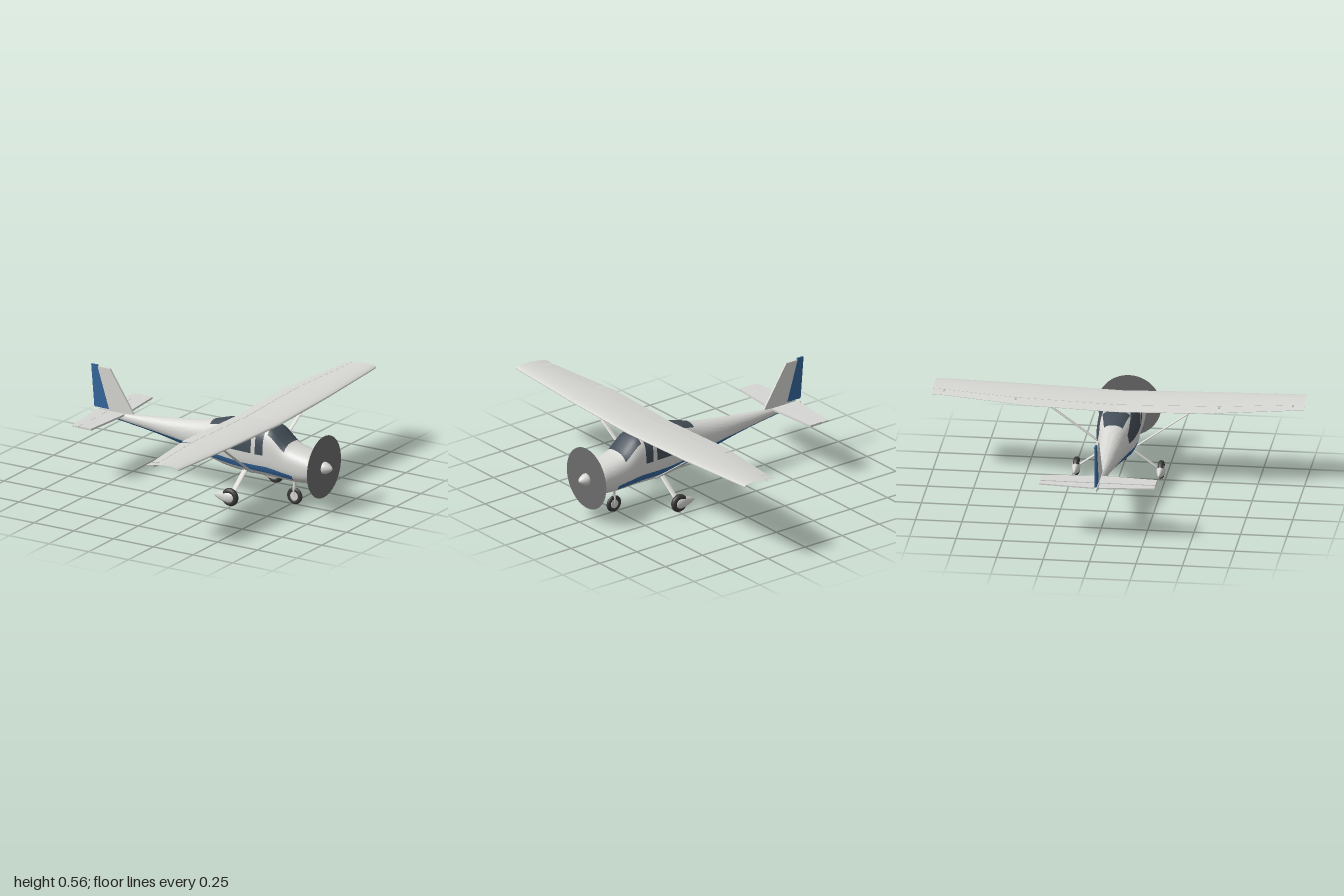
import * as THREE from 'three';
import { toCreasedNormals } from 'three/addons/utils/BufferGeometryUtils.js';

const V = (x, y, z) => new THREE.Vector3(x, y, z);

// Fuselage stations: x, top, bottom, half width, squareness
const STATIONS = [
  [-0.745, 0.306, 0.296, 0.004, 2], [-0.56, 0.318, 0.274, 0.018, 2],
  [-0.36, 0.336, 0.25, 0.04, 2], [-0.155, 0.36, 0.213, 0.062, 2.1],
  [0.005, 0.386, 0.176, 0.08, 2.3], [0.1, 0.411, 0.158, 0.098, 2.6],
  [0.2, 0.428, 0.147, 0.106, 2.8], [0.3, 0.432, 0.144, 0.108, 2.9],
  [0.41, 0.42, 0.143, 0.106, 2.8], [0.5, 0.35, 0.141, 0.103, 2.6],
  [0.575, 0.327, 0.14, 0.1, 2.5], [0.64, 0.314, 0.146, 0.097, 2.4],
  [0.675, 0.303, 0.157, 0.091, 2.3], [0.69, 0.292, 0.17, 0.084, 2.2],
  [0.698, 0.28, 0.185, 0.07, 2.2],
];

// Wing stations: z, leading edge, hinge line, trailing edge
const WING = [
  [0, 0.425, 0.21, 0.135], [0.5, 0.425, 0.21, 0.135], [0.545, 0.423, 0.21, 0.143],
  [0.94, 0.411, 0.255, 0.2], [1, 0.408, 0.255, 0.2],
];

function bracket(table, v) {
  let i = 0;
  while (i < table.length - 2 && v > table[i + 1][0]) i++;
  return [i, (v - table[i][0]) / (table[i + 1][0] - table[i][0])];
}

// Smooth fuselage section at x
function section(x) {
  const [i, t] = bracket(STATIONS, x);
  const at = (k) => STATIONS[Math.min(Math.max(k, 0), STATIONS.length - 1)];
  const a = at(i), b = at(i + 1), dx = b[0] - a[0];
  const slope = (k, c) => (at(k + 1)[c] - at(k - 1)[c]) / (at(k + 1)[0] - at(k - 1)[0]);
  const [top, bottom, w, n] = [1, 2, 3, 4].map((c) =>
    (2 * t ** 3 - 3 * t * t + 1) * a[c] + (t ** 3 - 2 * t * t + t) * dx * slope(i, c)
    + (3 * t * t - 2 * t ** 3) * b[c] + (t ** 3 - t * t) * dx * slope(i + 1, c));
  return { cy: (top + bottom) / 2, h: (top - bottom) / 2, w, n };
}

// Closed skin through rings of equal length, capped at both ends, facing outward
function loft(rings, crease) {
  const n = rings[0].length, pts = rings.flat(), index = [];
  for (let i = 0; i < rings.length - 1; i++) {
    for (let j = 0; j < n; j++) {
      const a = i * n + j, b = i * n + (j + 1) % n;
      index.push(a, a + n, b, b, a + n, b + n);
    }
  }
  [0, rings.length - 1].forEach((r) => {
    const c = pts.length;
    pts.push(rings[r].reduce((s, p) => s.add(p), V(0, 0, 0)).divideScalar(n));
    for (let j = 0; j < n; j++) {
      const a = r * n + j, b = r * n + (j + 1) % n;
      index.push(...(r ? [c, a, b] : [c, b, a]));
    }
  });
  let volume = 0;
  for (let k = 0; k < index.length; k += 3) {
    volume += pts[index[k]].dot(V(0, 0, 0).crossVectors(pts[index[k + 1]], pts[index[k + 2]]));
  }
  if (volume < 0) index.reverse();
  const g = new THREE.BufferGeometry().setFromPoints(pts);
  g.setIndex(index);
  return toCreasedNormals(g, crease);
}

function fuselageGeometry() {
  const rings = [], steps = 90, seg = 56;
  for (let i = 0; i <= steps; i++) {
    const x = -0.745 + 1.443 * Math.sin((i / steps) * Math.PI / 2);
    const { cy, h, w, n } = section(x);
    const pow = (v) => Math.sign(v) * Math.abs(v) ** (2 / n);
    rings.push(Array.from({ length: seg }, (_, j) => {
      const a = (j / seg) * Math.PI * 2;
      return V(x, cy + h * pow(Math.sin(a)), w * pow(Math.cos(a)));
    }));
  }
  return loft(rings, 0.7);
}

// Thin skin patch on the fuselage; rows are x, from, to (heights on the side, z on the roof)
function patch(rows, roof = false) {
  const pts = [], index = [], cols = 24, across = 12;
  const x0 = rows[0][0], x1 = rows[rows.length - 1][0];
  for (let i = 0; i <= cols; i++) {
    const x = x0 + (x1 - x0) * i / cols, s = section(x);
    const [k, t] = bracket(rows, x);
    const mix = (c) => rows[k][c] + (rows[k + 1][c] - rows[k][c]) * t;
    const curve = (q) => Math.max(0, 1 - Math.abs(q) ** s.n) ** (1 / s.n);
    for (let j = 0; j <= across; j++) {
      const v = mix(1) + (mix(2) - mix(1)) * j / across;
      pts.push(roof ? V(x, s.cy + s.h * curve(v / s.w) + 0.003, v)
        : V(x, v, s.w * curve((v - s.cy) / s.h) + 0.003));
      if (i < cols && j < across) {
        const a = i * (across + 1) + j, b = a + across + 1;
        index.push(a, b, a + 1, a + 1, b, b + 1);
      }
    }
  }
  const g = new THREE.BufferGeometry().setFromPoints(pts);
  g.setIndex(index);
  g.computeVertexNormals();
  return g;
}

// Piece of the right-angled airfoil wing, ahead of or behind the hinge line
function wingPanel(z0, z1, rear) {
  const zs = [z0, ...WING.map((s) => s[0]).filter((z) => z > z0 && z < z1), z1];
  return loft(zs.map((z) => {
    const [i, t] = bracket(WING, z);
    const [le, hinge, te] = [1, 2, 3].map((c) => WING[i][c] + (WING[i + 1][c] - WING[i][c]) * t);
    const cut = (le - hinge) / (le - te), from = rear ? cut + 0.008 : 0, to = rear ? 1 : cut;
    const thick = 0.0145 - 0.003 * z, upper = [], lower = [];
    for (let k = 0; k <= 14; k++) {
      const c = from + (to - from) * (rear ? k / 14 : (k / 14) ** 2);
      const half = thick * 10 * (0.2969 * Math.sqrt(c) - 0.126 * c - 0.3516 * c ** 2
        + 0.2843 * c ** 3 - 0.1015 * c ** 4) + 0.0008;
      const mid = 0.43 + 0.03 * z - 0.009 * c + 0.016 * c * (1 - c), x = le + (te - le) * c;
      upper.push(V(x, mid + half, z));
      lower.unshift(V(x, mid - half, z));
    }
    return [...upper, ...lower];
  }), 0.6);
}

// Flat plate of given thickness, centred on its plane
function plate(points, thick) {
  const g = new THREE.ExtrudeGeometry(new THREE.Shape(points.map((p) => new THREE.Vector2(...p))),
    { depth: thick, bevelEnabled: false });
  return g.translate(0, 0, -thick / 2);
}

// Elliptical bar between two points
function bar(p, q, chord, thick) {
  const d = q.clone().sub(p), g = new THREE.CylinderGeometry(0.5, 0.5, d.length(), 16);
  g.scale(chord, 1, thick);
  g.applyQuaternion(new THREE.Quaternion().setFromUnitVectors(V(0, 1, 0), d.normalize()));
  const m = p.clone().add(q).multiplyScalar(0.5);
  return g.translate(m.x, m.y, m.z);
}

// Turned shape along +x; points are radius, distance
const turned = (pts) => new THREE.LatheGeometry(
  new THREE.SplineCurve(pts.map((p) => new THREE.Vector2(...p))).getPoints(24), 32).rotateZ(-Math.PI / 2);

function mirrorZ(geometry) {
  const g = geometry.clone().scale(1, 1, -1);
  const order = g.index ? Array.from(g.index.array) : Array.from({ length: g.attributes.position.count }, (_, i) => i);
  return g.setIndex(order.reverse());
}

export function createModel() {
  const model = new THREE.Group();
  model.name = 'lightAircraft';
  const material = (name, color, extra) => Object.assign(new THREE.MeshStandardMaterial({ color, ...extra }), { name });
  const white = material('white', 0xd6d7d3);
  const blue = material('blue', 0x34669c);
  const glass = material('darkGlass', 0x444e58);
  const rubber = material('rubber', 0x3a3a3a);
  const blur = material('propellerGrey', 0x6c6c6c, { side: THREE.DoubleSide });
  const add = (name, geometry, mat) => {
    const mesh = new THREE.Mesh(geometry, mat);
    mesh.name = name;
    model.add(mesh);
  };
  const pair = (name, geometry, mat) => {
    add(name + 'Left', mirrorZ(geometry), mat);
    add(name + 'Right', geometry, mat);
  };

  // Body, windows and stripe
  add('fuselage', fuselageGeometry(), white);
  pair('cabinWindow', patch([[0.015, 0.288, 0.335], [0.095, 0.285, 0.378], [0.18, 0.283, 0.408], [0.31, 0.281, 0.41]]), glass);
  pair('doorWindow', patch([[0.335, 0.28, 0.41], [0.383, 0.28, 0.408]]), glass);
  add('rearWindow', patch([[0.015, 0.05, -0.05], [0.15, 0.075, -0.075]], true), glass);
  add('windshield', patch([[0.4, 0.086, -0.086], [0.505, 0.088, -0.088]], true), glass);
  pair('stripe', patch([[-0.716, 0.296, 0.3], [-0.44, 0.262, 0.274], [-0.155, 0.225, 0.2535],
    [0.047, 0.2, 0.233], [0.25, 0.185, 0.217], [0.41, 0.18, 0.217], [0.56, 0.168, 0.193]]), blue);

  // Propeller
  add('spinner', turned([[0.033, 0], [0.032, 0.014], [0.023, 0.034], [0.01, 0.05], [0, 0.056]]).translate(0.7, 0.238, 0), white);
  add('propellerDisc', new THREE.CircleGeometry(0.172, 64).rotateY(Math.PI / 2).translate(0.702, 0.243, 0), blur);

  // Wings with struts
  pair('wing', wingPanel(0, 1, false), white);
  pair('flap', wingPanel(0, 0.543, true), white);
  pair('aileron', wingPanel(0.552, 0.935, true), white);
  pair('wingTipEdge', wingPanel(0.943, 1, true), white);
  pair('wingStrut', bar(V(0.303, 0.168, 0.09), V(0.322, 0.437, 0.475), 0.024, 0.009), white);

  // Tail
  add('fin', plate([[-0.49, 0.318], [-0.643, 0.554], [-0.719, 0.554], [-0.645, 0.318]], 0.012), white);
  add('rudder', plate([[-0.65, 0.326], [-0.722, 0.562], [-0.76, 0.562], [-0.74, 0.326]], 0.01), blue);
  const flat = (points, thick) => plate(points, thick).rotateX(Math.PI / 2).translate(0, 0.312, 0);
  pair('stabilizer', flat([[-0.545, 0], [-0.57, 0.31], [-0.648, 0.31], [-0.648, 0]], 0.011), white);
  pair('elevator', flat([[-0.652, 0.012], [-0.652, 0.31], [-0.692, 0.31], [-0.72, 0.012]], 0.007), white);

  // Main gear
  pair('mainLeg', bar(V(0.25, 0.165, 0.075), V(0.253, 0.065, 0.215), 0.03, 0.01), white);
  pair('mainTyre', new THREE.TorusGeometry(0.034, 0.016, 16, 40).translate(0.253, 0.058, 0.228), rubber);
  pair('wheelFairing', turned([[0, -0.108], [0.018, -0.075], [0.034, -0.03], [0.036, 0], [0.026, 0.025], [0, 0.036]])
    .scale(1, 0.95, 0.62).translate(0.253, 0.056, 0.228), white);

  // Nose gear
  add('noseTyre', new THREE.TorusGeometry(0.034, 0.0125, 16, 40).scale(1, 1, 0.8).translate(0.518, 0.047, 0), rubber);
  add('noseHub', new THREE.CylinderGeometry(0.024, 0.024, 0.016, 28).rotateX(Math.PI / 2).translate(0.518, 0.047, 0), white);
  add('noseLeg', bar(V(0.517, 0.09, 0), V(0.517, 0.17, 0), 0.02, 0.016), white);
  pair('noseFork', bar(V(0.518, 0.045, 0.012), V(0.517, 0.1, 0.01), 0.012, 0.005), white);
  return model;
}
